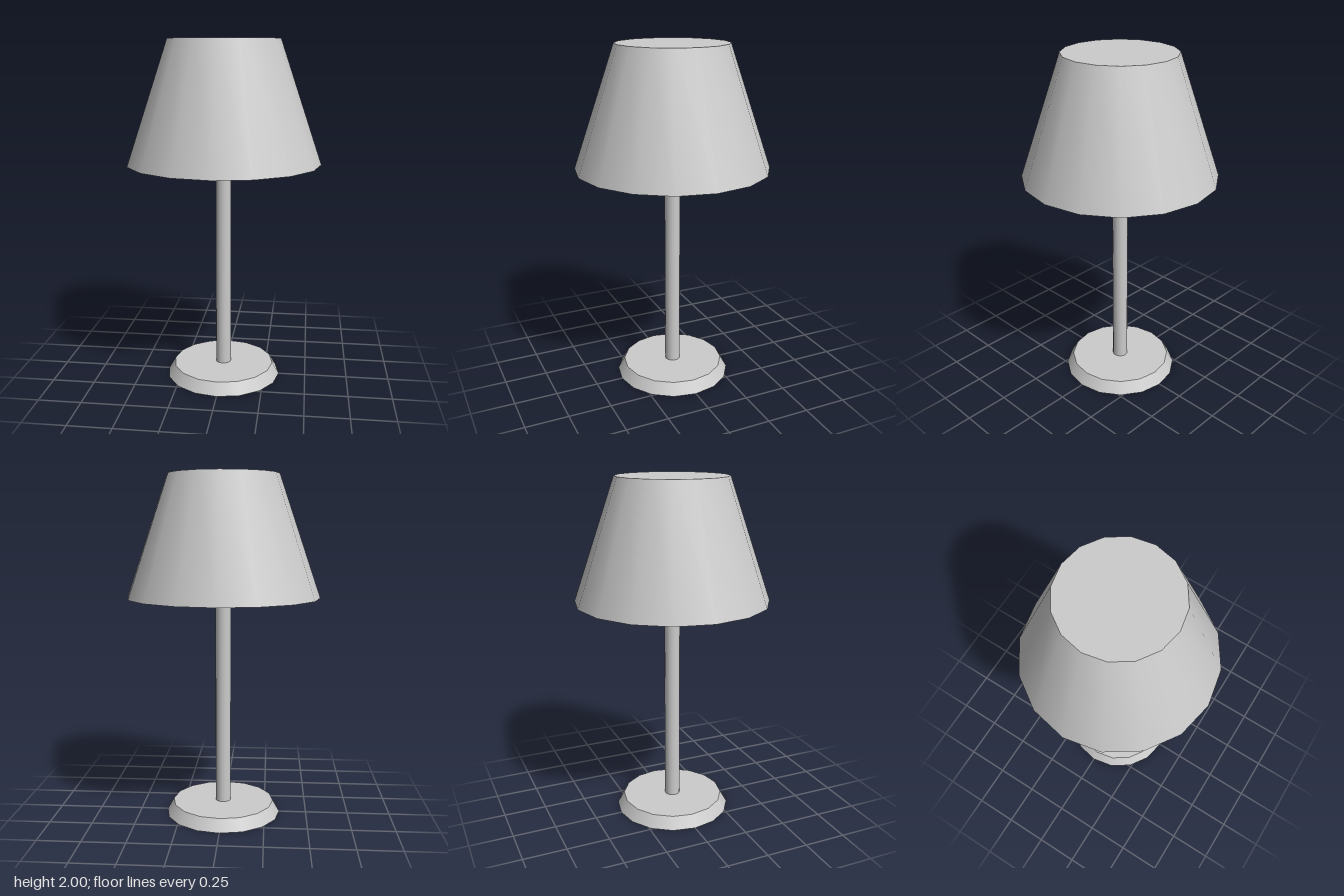
import * as THREE from 'three';
import { toCreasedNormals } from 'three/addons/utils/BufferGeometryUtils.js';

const SIDES = 16;

export function createModel() {
  const lamp = new THREE.Group();
  lamp.name = 'tableLamp';
  const material = new THREE.MeshStandardMaterial({ color: 0xcccccc });

  const addPart = (name, geometry, y = 0) => {
    const mesh = new THREE.Mesh(geometry, material);
    mesh.name = name;
    mesh.position.y = y;
    lamp.add(mesh);
  };

  // Bevelled foot
  addPart('base', new THREE.CylinderGeometry(0.30, 0.34, 0.07, SIDES), 0.035);

  // Pole from the foot up to the shade's ceiling
  const poleBottom = 0.06, poleTop = 1.98;
  addPart('pole', new THREE.CylinderGeometry(0.045, 0.045, poleTop - poleBottom, SIDES), (poleBottom + poleTop) / 2);

  // Hollow shade, closed on top: inner ceiling, inner wall, rim, outer wall, top
  const profile = [[0, 1.975], [0.30, 1.975], [0.535, 1.3], [0.56, 1.3], [0.32, 2], [0, 2]]
    .map(([r, y]) => new THREE.Vector2(r, y));
  addPart('shade', toCreasedNormals(new THREE.LatheGeometry(profile, SIDES), 0.6));

  return lamp;
}
